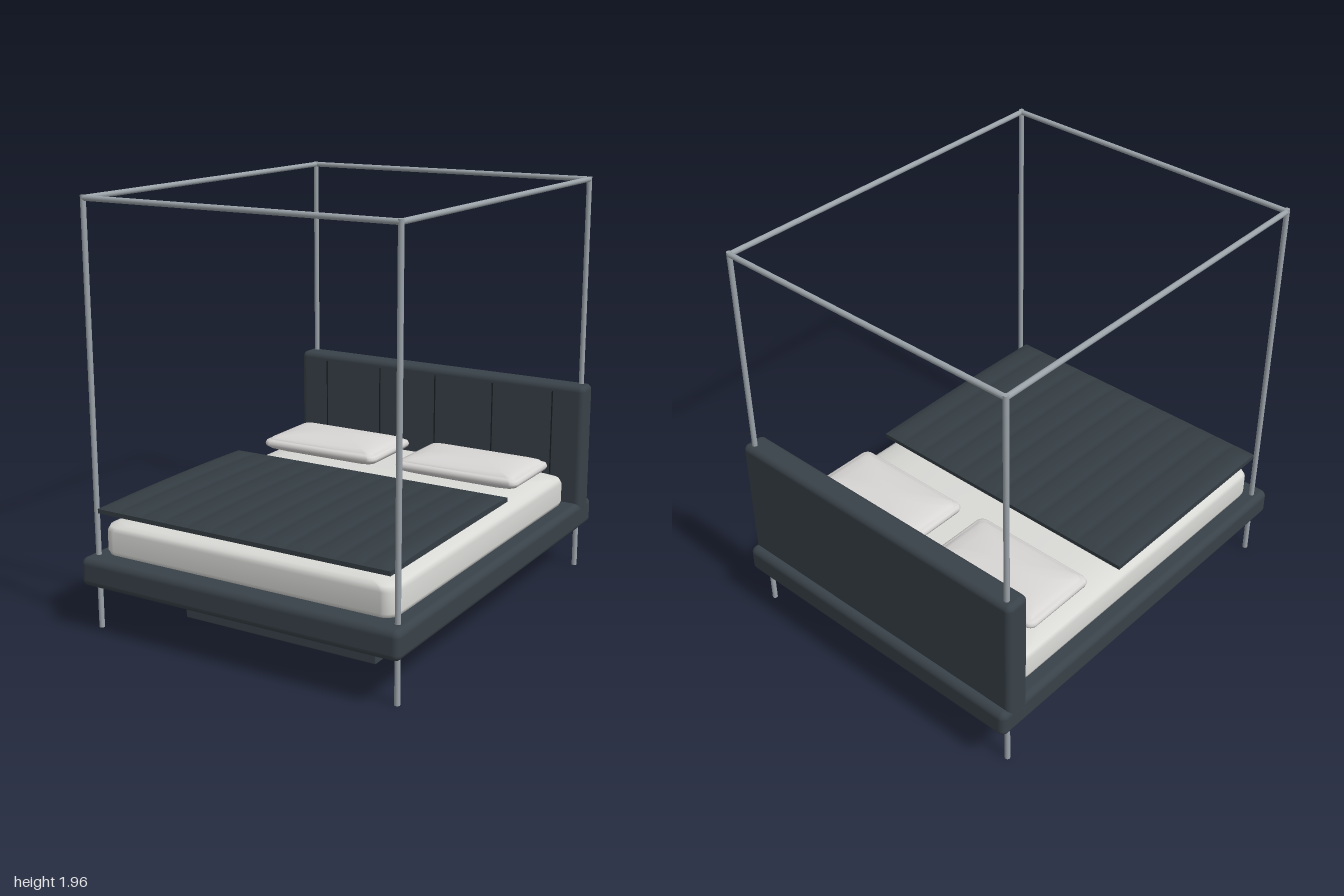
import * as THREE from 'three';
import { RoundedBoxGeometry } from 'three/addons/geometries/RoundedBoxGeometry.js';

const material = (name, color) => {
  const m = new THREE.MeshStandardMaterial({ color });
  m.name = name;
  return m;
};

// Soft solid skinned over rounded rectangles: [halfWidth, halfDepth, cornerRadius, y], bottom to top
function loft(rings, cornerSteps = 8) {
  const pos = [], index = [], n = 4 * (cornerSteps + 1);
  for (const [w, d, r, y] of rings) {
    for (let c = 0; c < 4; c++) {
      const sx = c === 0 || c === 3 ? 1 : -1, sz = c < 2 ? 1 : -1;
      for (let i = 0; i <= cornerSteps; i++) {
        const a = (c + i / cornerSteps) * Math.PI / 2;
        pos.push(sx * (w - r) + r * Math.cos(a), y, sz * (d - r) + r * Math.sin(a));
      }
    }
  }
  for (let k = 0; k < rings.length - 1; k++) {
    for (let i = 0; i < n; i++) {
      const a = k * n + i, b = k * n + (i + 1) % n;
      index.push(a, a + n, b, b, a + n, b + n);
    }
  }
  // Close both ends with a fan
  const last = (rings.length - 1) * n, centre = pos.length / 3;
  pos.push(0, rings[0][3], 0, 0, rings[rings.length - 1][3], 0);
  for (let i = 0; i < n; i++) {
    const j = (i + 1) % n;
    index.push(centre, i, j, centre + 1, last + j, last + i);
  }
  const g = new THREE.BufferGeometry();
  g.setAttribute('position', new THREE.Float32BufferAttribute(pos, 3));
  g.setIndex(index);
  g.computeVertexNormals();
  return g;
}

// Quilted cover: a thin slab with ribs along its length and softened edges
function quilt(w, d, ribs) {
  const g = new THREE.BoxGeometry(w, 1, d, ribs * 8, 1, 24);
  const p = g.attributes.position;
  for (let i = 0; i < p.count; i++) {
    const x = p.getX(i), z = p.getZ(i);
    const edge = Math.min(w / 2 - Math.abs(x), d / 2 - Math.abs(z));
    const round = Math.sqrt(Math.min(1, Math.max(0, edge) / 0.04));
    const rib = Math.pow(Math.abs(Math.sin(Math.PI * ribs * (x / w + 0.5))), 0.5);
    const crown = 0.008 * (1 - Math.pow(2 * z / d, 2));
    const top = 0.012 + 0.008 * round + 0.007 * rib * round + crown;
    p.setY(i, p.getY(i) > 0 ? top : -0.008 - 0.008 * round);
  }
  g.computeVertexNormals();
  return g;
}

export function createModel() {
  const bed = new THREE.Group();
  bed.name = 'canopyBed';
  const upholstery = material('slate upholstery', 0x394249);
  const cover = material('dark cover', 0x343d43);
  const seam = material('seam shadow', 0x1b2024);
  const metal = material('brushed metal', 0x9ba3a9);
  const linen = material('pale linen', 0xd9d9d6);
  const pillowCloth = material('pillow cloth', 0xd8d6d5);

  const add = (name, geometry, mat, x, y, z) => {
    const mesh = new THREE.Mesh(geometry, mat);
    mesh.name = name;
    mesh.position.set(x, y, z);
    bed.add(mesh);
    return mesh;
  };

  // Base, frame and headboard
  add('plinth', new RoundedBoxGeometry(1.01, 0.17, 1.28, 2, 0.006), upholstery, 0, 0.085, 0);
  add('bedFrame', new RoundedBoxGeometry(1.63, 0.135, 2, 5, 0.032), upholstery, 0, 0.2825, 0);
  add('headboard', new RoundedBoxGeometry(1.63, 0.645, 0.12, 5, 0.028), upholstery, 0, 0.6225, -0.9);
  for (let i = -2; i <= 2; i++) {
    add('headboardSeam', new THREE.BoxGeometry(0.006, 0.56, 0.004), seam, i * 0.326, 0.63, -0.839);
  }

  // Mattress with a crowned top
  add('mattress', loft([
    [0.72, 0.845, 0.05, 0.35], [0.738, 0.863, 0.06, 0.356], [0.745, 0.87, 0.06, 0.375],
    [0.745, 0.87, 0.06, 0.465], [0.738, 0.863, 0.07, 0.488], [0.715, 0.84, 0.1, 0.5],
    [0.67, 0.79, 0.16, 0.514], [0.6, 0.7, 0.18, 0.528], [0.48, 0.58, 0.18, 0.536],
    [0.25, 0.35, 0.15, 0.54],
  ]), linen, 0, 0, 0.05);

  // Pillows with a raised flange around the middle
  const pillow = loft([
    [0.2, 0.09, 0.06, 0.53], [0.27, 0.15, 0.06, 0.537], [0.305, 0.18, 0.04, 0.55],
    [0.322, 0.197, 0.035, 0.565], [0.325, 0.2, 0.035, 0.577], [0.32, 0.195, 0.035, 0.59],
    [0.306, 0.184, 0.035, 0.596], [0.3, 0.178, 0.03, 0.595], [0.297, 0.175, 0.03, 0.604],
    [0.27, 0.15, 0.04, 0.614], [0.21, 0.1, 0.05, 0.624], [0.1, 0.04, 0.03, 0.63],
  ]);
  for (const side of [-1, 1]) add('pillow', pillow, pillowCloth, side * 0.383, 0, -0.5);

  add('quiltedCover', quilt(1.49, 1.08, 12), cover, 0, 0.561, 0.403);

  // Four posts joined by top rails
  const px = 0.768, pz = 0.922, r = 0.0125, railY = 1.945;
  const bar = (length) => new THREE.CylinderGeometry(r, r, length, 16);
  for (const s of [-1, 1]) {
    for (const t of [-1, 1]) add('canopyPost', bar(1.957), metal, s * px, 0.9785, t * pz);
    add('canopySideRail', bar(2 * pz), metal, s * px, railY, 0).rotation.x = Math.PI / 2;
    add('canopyCrossRail', bar(2 * px), metal, 0, railY, s * pz).rotation.z = Math.PI / 2;
  }
  return bed;
}
